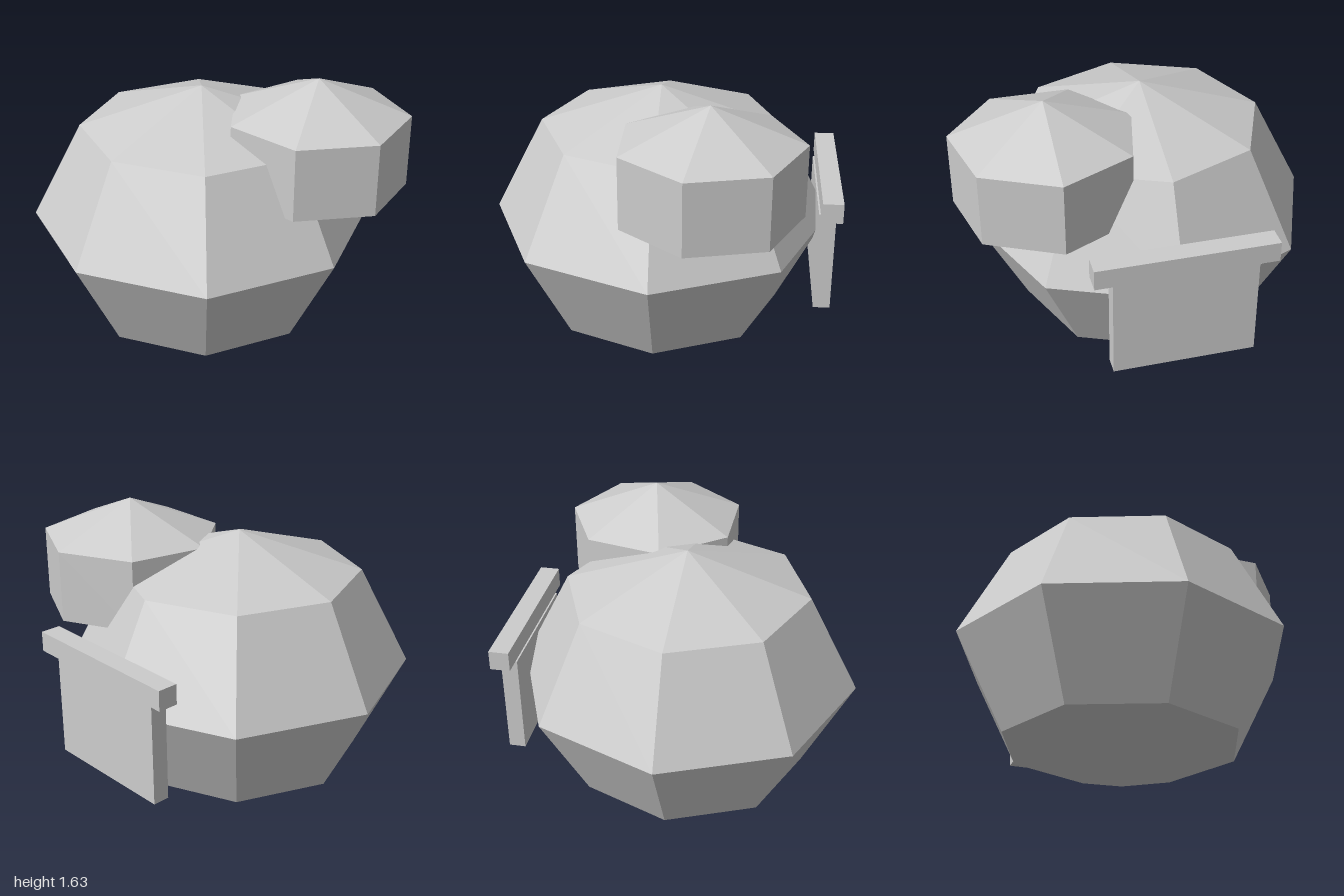
import * as THREE from 'three';

export function createModel() {
  const model = new THREE.Group();
  const grey = new THREE.MeshStandardMaterial({ color: 0xcccccc, flatShading: true });
  grey.name = 'light grey';

  const add = (name, geometry, x, y, z) => {
    const mesh = new THREE.Mesh(geometry, grey);
    mesh.name = name;
    mesh.position.set(x, y, z);
    model.add(mesh);
    return mesh;
  };

  // Squashed eight-sided body
  add('body', new THREE.SphereGeometry(0.945, 8, 4), -0.02, 0.76, -0.055)
    .scale.y = 0.76 / 0.945;

  // Seven-sided head, one corner pointing to +x
  const head = add('head', new THREE.SphereGeometry(0.571, 7, 3), 0.266, 1.236, 0.518);
  head.scale.y = 0.395 / 0.571;
  head.rotation.y = Math.PI;

  // Side panel with a wider rail on top
  add('sidePanel', new THREE.BoxGeometry(0.092, 0.575, 0.76), 0.891, 0.668, -0.053);
  add('topRail', new THREE.BoxGeometry(0.11, 0.11, 0.952), 0.909, 1.01, -0.051);

  return model;
}
